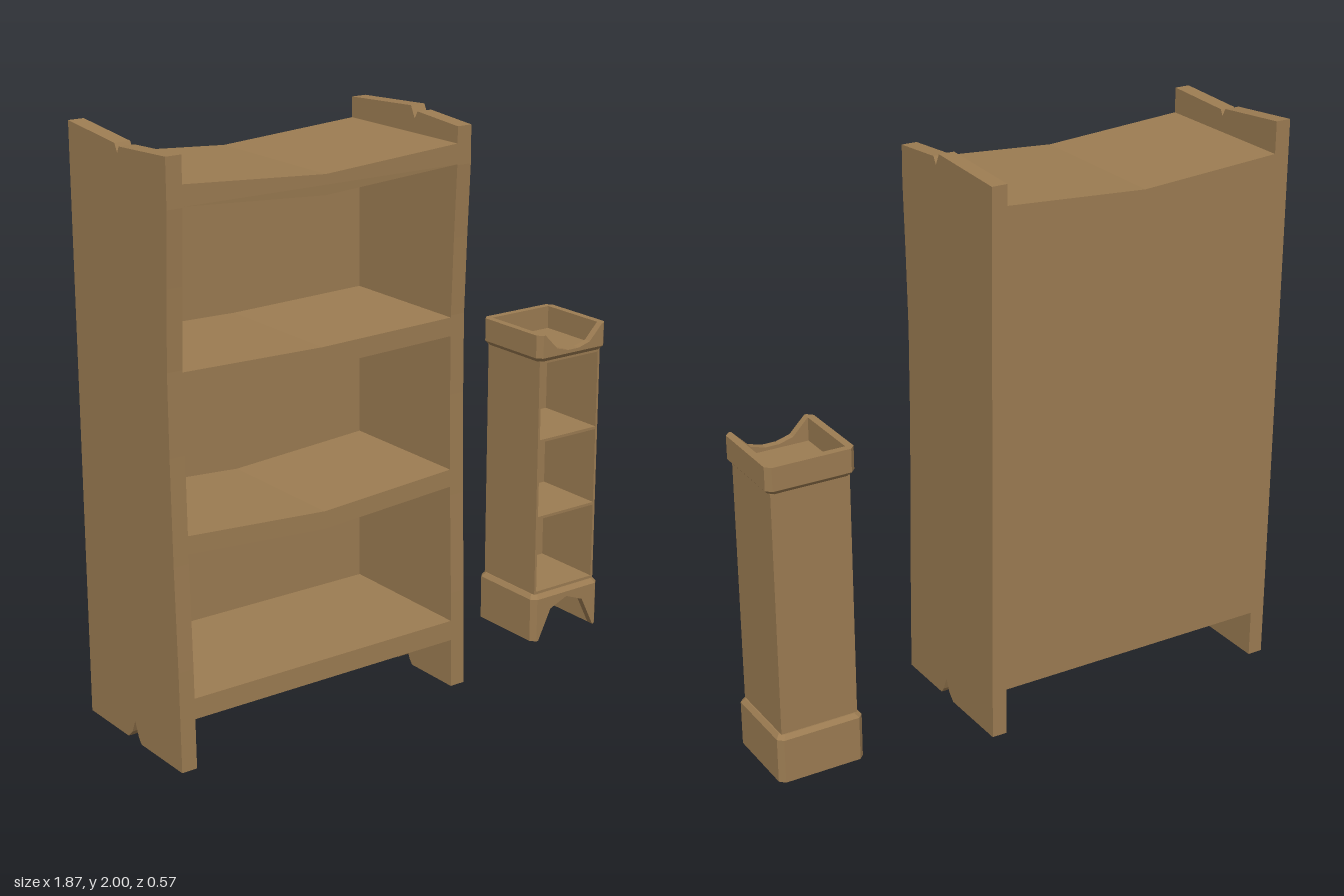
import * as THREE from 'three';

const wood = new THREE.MeshStandardMaterial({ color: 0x9c7c52 });
wood.name = 'wood';

function add(parent, name, geometry) {
  const mesh = new THREE.Mesh(geometry, wood);
  mesh.name = name;
  parent.add(mesh);
  return mesh;
}

function extrude(points, depth) {
  const shape = new THREE.Shape(points.map(([x, y]) => new THREE.Vector2(x, y)));
  return new THREE.ExtrudeGeometry(shape, { depth, bevelEnabled: false });
}

// Box given by its limits
function box(parent, name, x0, x1, y0, y1, z0, z1) {
  const g = new THREE.BoxGeometry(x1 - x0, y1 - y0, z1 - z0);
  g.translate((x0 + x1) / 2, (y0 + y1) / 2, (z0 + z1) / 2);
  return add(parent, name, g);
}

// Wavy front edge of the bookcase as [z, y]
const FRONT = [[0.283, 0.01], [0.277, 0.35], [0.266, 0.7], [0.26, 1.05], [0.259, 1.32], [0.27, 1.58], [0.283, 1.82]];
const BACK = -0.283;

function frontZ(y) {
  for (let i = 1; i < FRONT.length; i++) {
    const [z0, y0] = FRONT[i - 1], [z1, y1] = FRONT[i];
    if (y <= y1) return z0 + (z1 - z0) * (y - y0) / (y1 - y0);
  }
  return 0.283;
}

function createBookcase() {
  const g = new THREE.Group();
  g.name = 'bookcase';

  // Side panels with a notched foot and a cracked top edge
  const panel = (name, right, foot, top) => {
    const outline = [
      [BACK, 0.01], [foot - 0.045, 0.01], [foot - 0.02, 0.035], [foot, 0.08], [foot + 0.02, 0.03], [foot + 0.035, 0.01],
      ...FRONT, ...top,
    ];
    const geo = extrude(outline, 0.055);
    geo.rotateY(-Math.PI / 2);
    geo.translate(right, 0, 0);
    add(g, name, geo);
  };
  panel('leftPanel', 0.2, 0.03, [[0.283, 1.945], [0.075, 1.962], [0.06, 1.937], [0.04, 1.977], [BACK, 1.96]]);
  panel('rightPanel', -0.88, 0, [[0.283, 1.978], [0.02, 1.966], [0.01, 1.945], [-0.005, 1.973], [BACK, 2]]);

  // Sagging boards: bottom and top heights at the ends, then at the middle
  const xl = -0.88, xm = -0.3675, xr = 0.145;
  const slab = (yb, yt, mb, mt) => [[xl, yb], [xm, mb], [xr, yb], [xr, yt], [xm, mt], [xl, yt]];
  const boards = [
    ['bottomBoard', 0.18, 0.25, 0.18, 0.25],
    ['lowerShelf', 0.73, 0.79, 0.697, 0.757],
    ['upperShelf', 1.25, 1.313, 1.237, 1.302],
    ['topBoard', 1.823, 1.89, 1.79, 1.856],
  ];
  for (const [name, ...h] of boards) {
    const geo = extrude(slab(...h), 0.5);
    const p = geo.attributes.position;
    for (let i = 0; i < p.count; i++) p.setZ(i, p.getZ(i) > 0.25 ? frontZ(p.getY(i)) : BACK + 0.04);
    geo.computeVertexNormals();
    add(g, name, geo);
  }

  // Back board
  const back = extrude(slab(0.18, 1.89, 0.18, 1.856), 0.04);
  back.translate(0, 0, BACK);
  add(g, 'backBoard', back);
  return g;
}

function createNarrowShelf() {
  const g = new THREE.Group();
  g.name = 'narrowShelf';
  const R = 0.156, C = 0.018, I = 0.13, B = 0.139;

  // Plate with cut corners, tapering from scale s0 at the bottom to s1 at the top
  const plate = (name, y0, y1, s0, s1) => {
    const geo = extrude([
      [-R + C, -R], [R - C, -R], [R, -R + C], [R, R - C], [R - C, R], [-R + C, R], [-R, R - C], [-R, -R + C],
    ], y1 - y0);
    const p = geo.attributes.position;
    for (let i = 0; i < p.count; i++) {
      const s = p.getZ(i) > (y1 - y0) / 2 ? s1 : s0;
      p.setXY(i, p.getX(i) * s, p.getY(i) * s);
    }
    geo.computeVertexNormals();
    geo.rotateX(-Math.PI / 2);
    geo.translate(0, y0, 0);
    add(g, name, geo);
  };

  // Side and back walls of the base and the tray, open at the front
  const walls = (name, y0, y1) => {
    const geo = extrude([
      [-R + C, -R], [-I, -R], [-I, I], [I, I], [I, -R], [R - C, -R],
      [R, -R + C], [R, R - C], [R - C, R], [-R + C, R], [-R, R - C], [-R, -R + C],
    ], y1 - y0);
    geo.rotateX(-Math.PI / 2);
    geo.translate(0, y0, 0);
    add(g, name, geo);
  };

  // Front board with an arch or scoop
  const front = (name, points) => {
    const geo = extrude(points, R - I);
    geo.translate(0, 0, I);
    add(g, name, geo);
  };

  // Base
  walls('baseWalls', 0, 0.16);
  front('baseArch', [[-I, 0], [-0.075, 0.112], [0, 0.142], [0.075, 0.112], [I, 0], [I, 0.16], [-I, 0.16]]);
  plate('baseMoulding', 0.16, 0.175, 1, 0.92);

  // Open cabinet
  for (const s of [-1, 1]) {
    const a = s * B, b = s * (B - 0.009);
    box(g, s > 0 ? 'leftSide' : 'rightSide', Math.min(a, b), Math.max(a, b), 0.175, 1.045, -B, B);
  }
  box(g, 'cabinetBack', -I, I, 0.175, 1.045, -B, -B + 0.01);
  for (const y of [0.18, 0.465, 0.752, 1.04]) box(g, 'shelf', -I, I, y - 0.005, y + 0.005, -B + 0.01, B);

  // Tray
  plate('trayFloor', 1.045, 1.06, 0.92, 1);
  walls('trayWalls', 1.06, 1.142);
  front('trayScoop', [[-I, 1.06], [I, 1.06], [I, 1.142], [0.075, 1.086], [0.025, 1.072], [-0.025, 1.072], [-0.075, 1.086], [-I, 1.142]]);

  g.position.set(0.777, 0, 0);
  return g;
}

export function createModel() {
  const model = new THREE.Group();
  model.name = 'shelves';
  model.add(createBookcase(), createNarrowShelf());
  return model;
}
